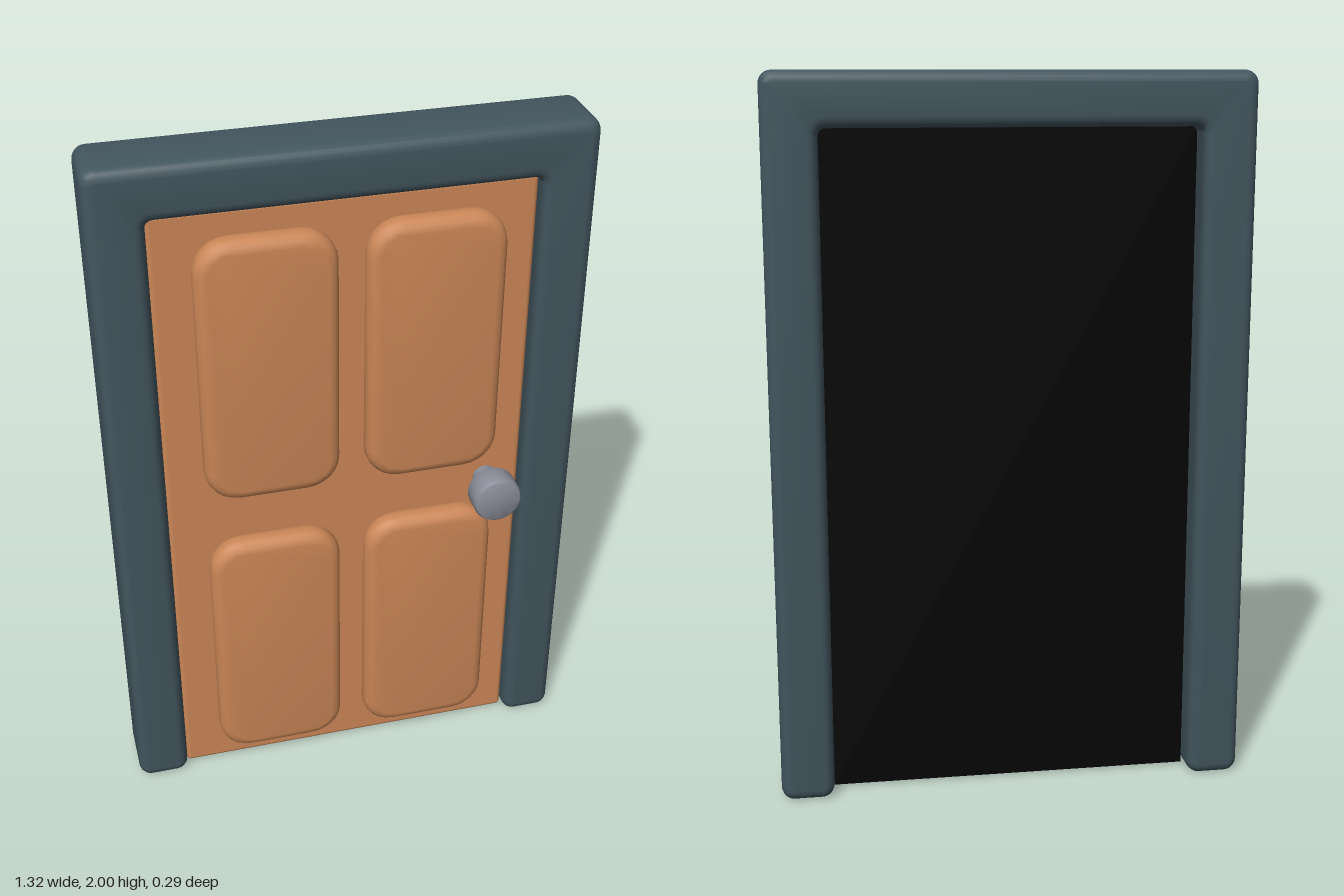
import * as THREE from 'three';
import { toCreasedNormals } from 'three/addons/utils/BufferGeometryUtils.js';
import { RoundedBoxGeometry } from 'three/addons/geometries/RoundedBoxGeometry.js';

const mat = (name, color) => {
  const m = new THREE.MeshStandardMaterial({ color });
  m.name = name;
  return m;
};

// Closed outline with rounded corners [x, y, radius]
function roundedOutline(corners) {
  const shape = new THREE.Shape();
  const n = corners.length;
  corners.forEach(([x, y, r], i) => {
    const p = new THREE.Vector2(x, y);
    const toward = ([a, b]) => new THREE.Vector2(a, b).sub(p).setLength(r).add(p);
    const a = toward(corners[(i + n - 1) % n]);
    const b = toward(corners[(i + 1) % n]);
    i ? shape.lineTo(a.x, a.y) : shape.moveTo(a.x, a.y);
    // Cubic close to a circular arc
    const c1 = a.clone().lerp(p, 0.55), c2 = b.clone().lerp(p, 0.55);
    shape.bezierCurveTo(c1.x, c1.y, c2.x, c2.y, b.x, b.y);
  });
  shape.closePath();
  return shape;
}

// Extrusion between two z planes with soft edges kept inside the outline
function softExtrude(shape, z0, z1, bevel, segments) {
  const geo = new THREE.ExtrudeGeometry(shape, {
    depth: z1 - z0 - 2 * bevel, curveSegments: 6, bevelEnabled: true,
    bevelThickness: bevel, bevelSize: bevel, bevelOffset: -bevel, bevelSegments: segments,
  });
  geo.translate(0, 0, z0 + bevel);
  return toCreasedNormals(geo, 0.6);
}

export function createModel() {
  const model = new THREE.Group();
  model.name = 'door';
  const slate = mat('slate frame', 0x43565f);
  const wood = mat('orange wood', 0xcb8757);
  const metal = mat('grey metal', 0x8a8d99);
  const black = mat('black backing', 0x040404);

  const add = (name, geo, material, x = 0, y = 0, z = 0, parent = model) => {
    const mesh = new THREE.Mesh(geo, material);
    mesh.name = name;
    mesh.position.set(x, y, z);
    parent.add(mesh);
    return mesh;
  };

  // Frame: two posts and a lintel in one piece
  const r = 0.036, inner = 0.02;
  const frame = roundedOutline([
    [-0.658, 0, r], [-0.51, 0, r], [-0.51, 1.853, inner], [0.51, 1.853, inner],
    [0.51, 0, r], [0.658, 0, r], [0.658, 2, r], [-0.658, 2, r],
  ]);
  add('frame', softExtrude(frame, -0.147, 0.05, 0.029, 4), slate);

  // Door leaf with its dark back face
  add('doorLeaf', new RoundedBoxGeometry(1.02, 1.853, 0.074, 3, 0.014), wood, 0, 0.9285, -0.025);
  add('doorBack', new THREE.BoxGeometry(1.02, 1.847, 0.006), black, 0, 0.9285, -0.06);

  // Four raised panels
  const w = 0.188, h = 0.391, c = 0.095;
  const panel = softExtrude(
    roundedOutline([[-w, -h, c], [w, -h, c], [w, h, c], [-w, h, c]]), -0.01, 0.067, 0.03, 3);
  const panels = new THREE.Group();
  panels.name = 'panels';
  model.add(panels);
  for (const x of [-0.216, 0.234])
    for (const y of [0.457, 1.393]) add('panel', panel, wood, x, y, 0, panels);

  // Knob on a short stem
  const knob = new THREE.Group();
  knob.name = 'doorKnob';
  knob.position.set(0.407, 0.927, 0);
  model.add(knob);
  const stem = new THREE.CylinderGeometry(0.034, 0.034, 0.07, 20).rotateX(Math.PI / 2);
  add('knobStem', stem, metal, 0, 0, 0.04, knob);
  const profile = [[0, 0.065], [0.057, 0.065], [0.065, 0.069], [0.069, 0.077],
    [0.069, 0.135], [0.065, 0.143], [0.057, 0.147], [0, 0.147]];
  const head = new THREE.LatheGeometry(profile.map(([a, b]) => new THREE.Vector2(a, b)), 28);
  add('knobHead', toCreasedNormals(head.rotateX(Math.PI / 2), 0.6), metal, 0, 0, 0, knob);

  return model;
}
